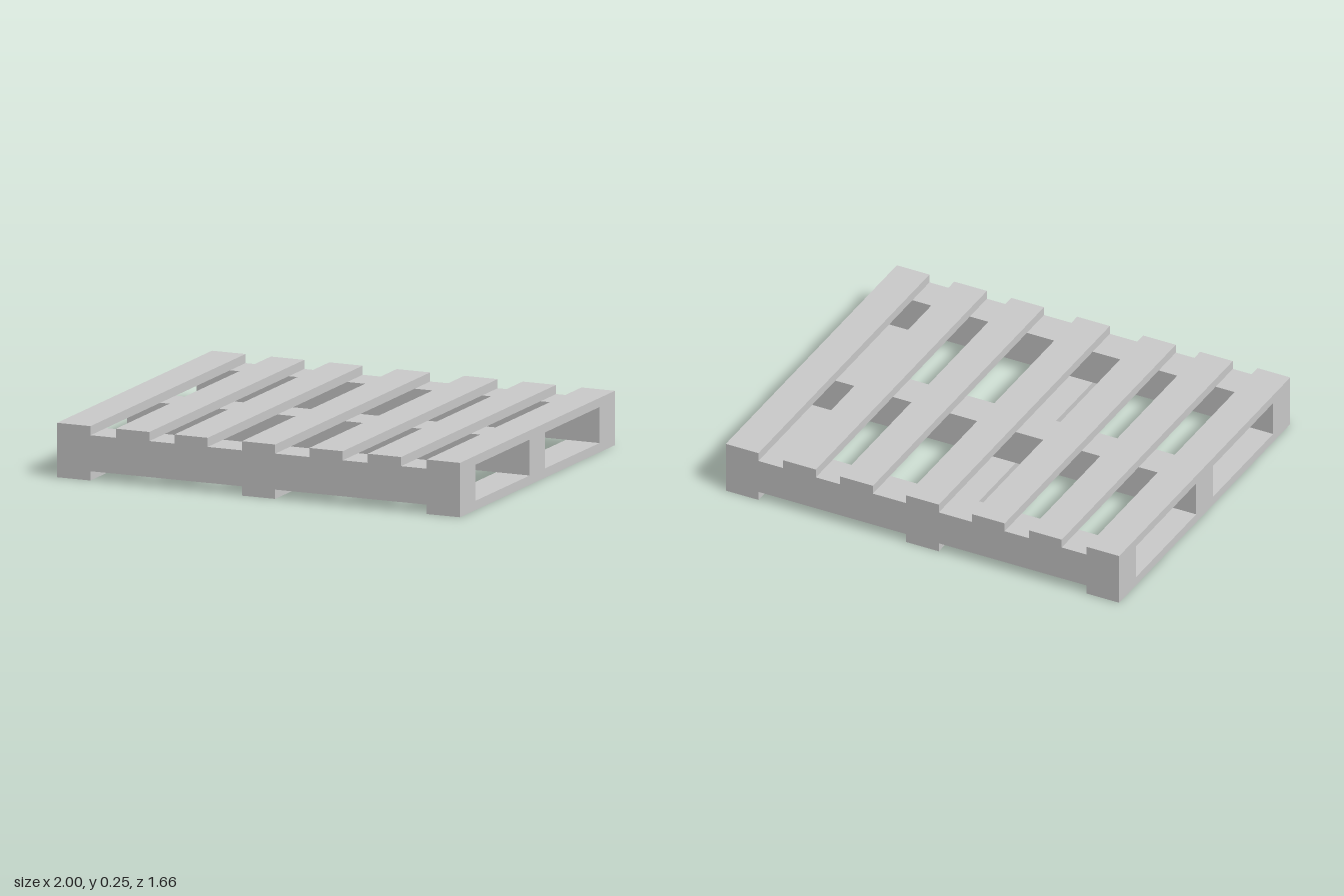
import * as THREE from 'three';

const material = new THREE.MeshStandardMaterial({ color: 0xcccccc, flatShading: true });

const HALF_DEPTH = 0.832;
const BOARD = 0.166; // width shared by every plank
const BOTTOM_TOP = 0.043; // top of the bottom boards
const DECK_BOTTOM = 0.209; // underside of the deck slats
const HEIGHT = 0.251;

// Box plank between two heights, centred on (x, z)
function plank(name, width, depth, y0, y1, x, z) {
  const mesh = new THREE.Mesh(new THREE.BoxGeometry(width, y1 - y0, depth), material);
  mesh.name = name;
  mesh.position.set(x, (y0 + y1) / 2, z);
  return mesh;
}

export function createModel() {
  const pallet = new THREE.Group();
  pallet.name = 'pallet';
  const edgeX = 1 - BOARD / 2;
  const edgeZ = HALF_DEPTH - BOARD / 2;

  // Seven deck slats running front to back
  for (const x of [-edgeX, -0.625, -0.335, 0, 0.335, 0.625, edgeX]) {
    pallet.add(plank('deckSlat', BOARD, HALF_DEPTH * 2, DECK_BOTTOM, HEIGHT, x, 0));
  }

  // Three stringers running side to side
  for (const z of [-edgeZ, 0, edgeZ]) {
    pallet.add(plank('stringer', 2, BOARD, BOTTOM_TOP, DECK_BOTTOM, 0, z));
  }

  // Three bottom boards running front to back
  for (const x of [-edgeX, 0, edgeX]) {
    pallet.add(plank('bottomBoard', BOARD, HALF_DEPTH * 2, 0, BOTTOM_TOP, x, 0));
  }

  return pallet;
}
